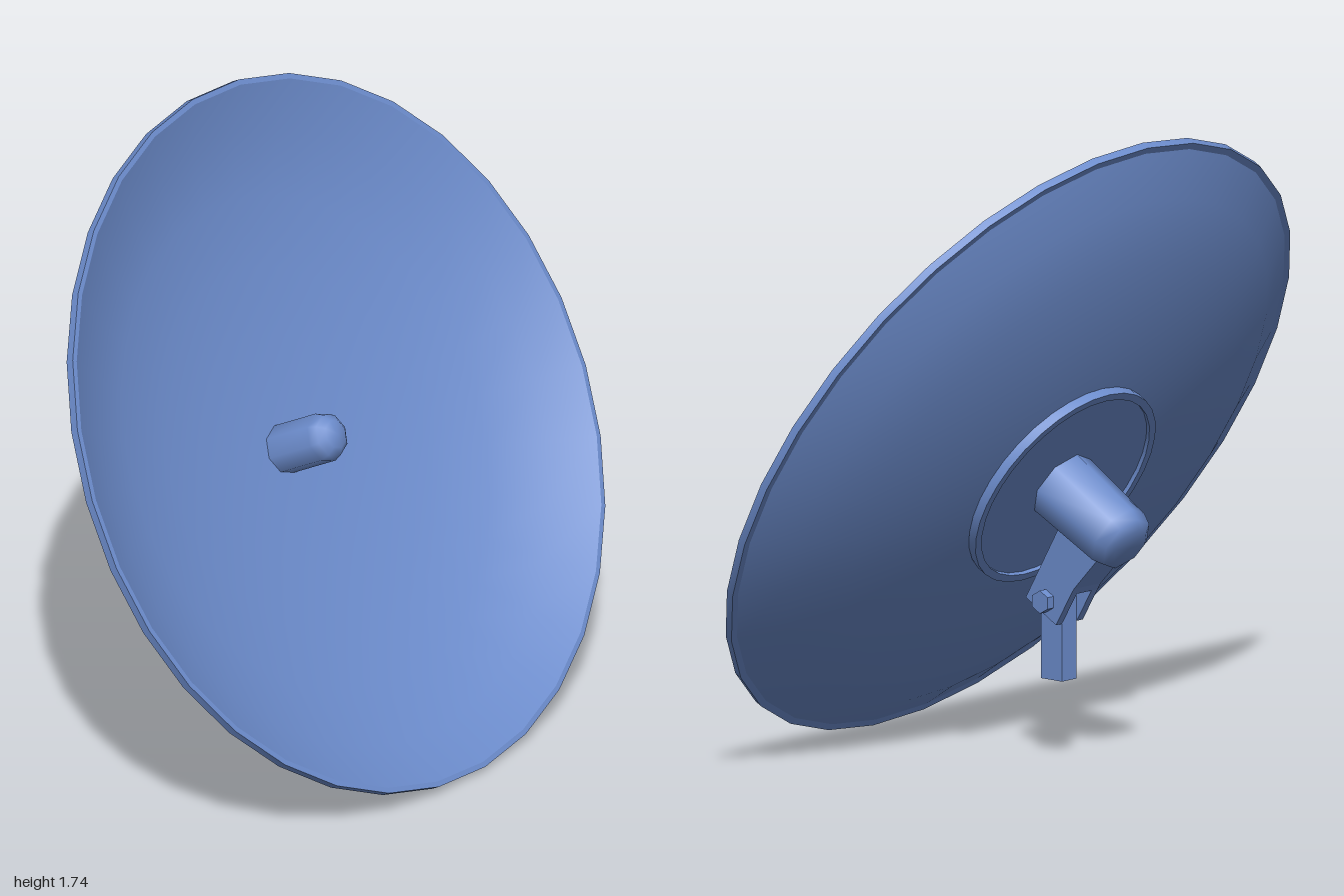
import * as THREE from 'three';
import { toCreasedNormals } from 'three/addons/utils/BufferGeometryUtils.js';

const material = new THREE.MeshStandardMaterial({ color: 0x6c8ccc });

function addMesh(parent, name, geometry) {
  const mesh = new THREE.Mesh(geometry, material);
  mesh.name = name;
  parent.add(mesh);
  return mesh;
}

// Turns [radius, depth] points around the dish axis (local z).
function turned(points, sides, crease) {
  const profile = points.map(([r, d]) => new THREE.Vector2(r, d));
  const geometry = new THREE.LatheGeometry(profile, sides).rotateX(Math.PI / 2);
  return toCreasedNormals(geometry, crease);
}

// Extrudes a [depth, height] outline sideways, centred on x.
function sidePlate(points, width, x = 0) {
  const shape = new THREE.Shape(points.map(([d, h]) => new THREE.Vector2(d, h)));
  return new THREE.ExtrudeGeometry(shape, { depth: width, bevelEnabled: false })
    .translate(0, 0, -width / 2)
    .rotateY(-Math.PI / 2)
    .translate(x, 0, 0);
}

export function createModel() {
  const model = new THREE.Group();
  model.name = 'dishAntenna';

  // Everything fixed to the dish leans back by 30 degrees
  const head = new THREE.Group();
  head.name = 'tiltedHead';
  head.position.y = 0.875;
  head.rotation.x = -Math.PI / 6;
  model.add(head);

  // Thin curved shell with a small rim band
  addMesh(head, 'dish', turned([
    [0, -0.235], [0.16, -0.231], [0.32, -0.22], [0.5, -0.192], [0.69, -0.15],
    [0.86, -0.088], [0.98, -0.02], [1, -0.02], [1, 0.004], [0.985, 0.004],
    [0.86, -0.066], [0.69, -0.13], [0.5, -0.172], [0.32, -0.198], [0.16, -0.209], [0, -0.212],
  ], 32, 0.5));

  // Recessed back plate with a raised lip
  addMesh(head, 'backPlate', turned([
    [0, -0.238], [0.3, -0.238], [0.3, -0.25], [0.322, -0.25], [0.322, -0.222], [0.3, -0.22],
  ], 32, 0.5));

  // Receiver in front of the dish
  addMesh(head, 'receiver', turned([
    [0.07, -0.23], [0.07, -0.05], [0.06, -0.025], [0.04, -0.008], [0, -0.003],
  ], 8, 1));

  // Housing behind the dish
  addMesh(head, 'rearHousing', turned([
    [0, -0.523], [0.06, -0.521], [0.084, -0.506], [0.096, -0.472], [0.105, -0.235],
  ], 8, 1));

  // Forked arm: solid upper block and two prongs around the post
  addMesh(head, 'armBlock', sidePlate([
    [-0.321, -0.04], [-0.321, -0.21], [-0.449, -0.21], [-0.45, -0.188], [-0.485, -0.04],
  ], 0.11));
  for (const side of [-1, 1]) {
    addMesh(head, side > 0 ? 'leftProng' : 'rightProng', sidePlate([
      [-0.321, -0.2], [-0.321, -0.315], [-0.448, -0.315], [-0.449, -0.2],
    ], 0.025, side * 0.0425));
  }

  // Upright post and the hexagonal pivot bolt
  addMesh(model, 'post', new THREE.BoxGeometry(0.06, 0.23, 0.076)).position.set(0, 0.333, -0.192);
  const bolt = addMesh(model, 'pivotBolt',
    toCreasedNormals(new THREE.CylinderGeometry(0.032, 0.032, 0.16, 6).rotateZ(Math.PI / 2), 0.5));
  bolt.position.set(0, 0.441, -0.194);
  bolt.rotation.x = Math.PI / 6;

  return model;
}
